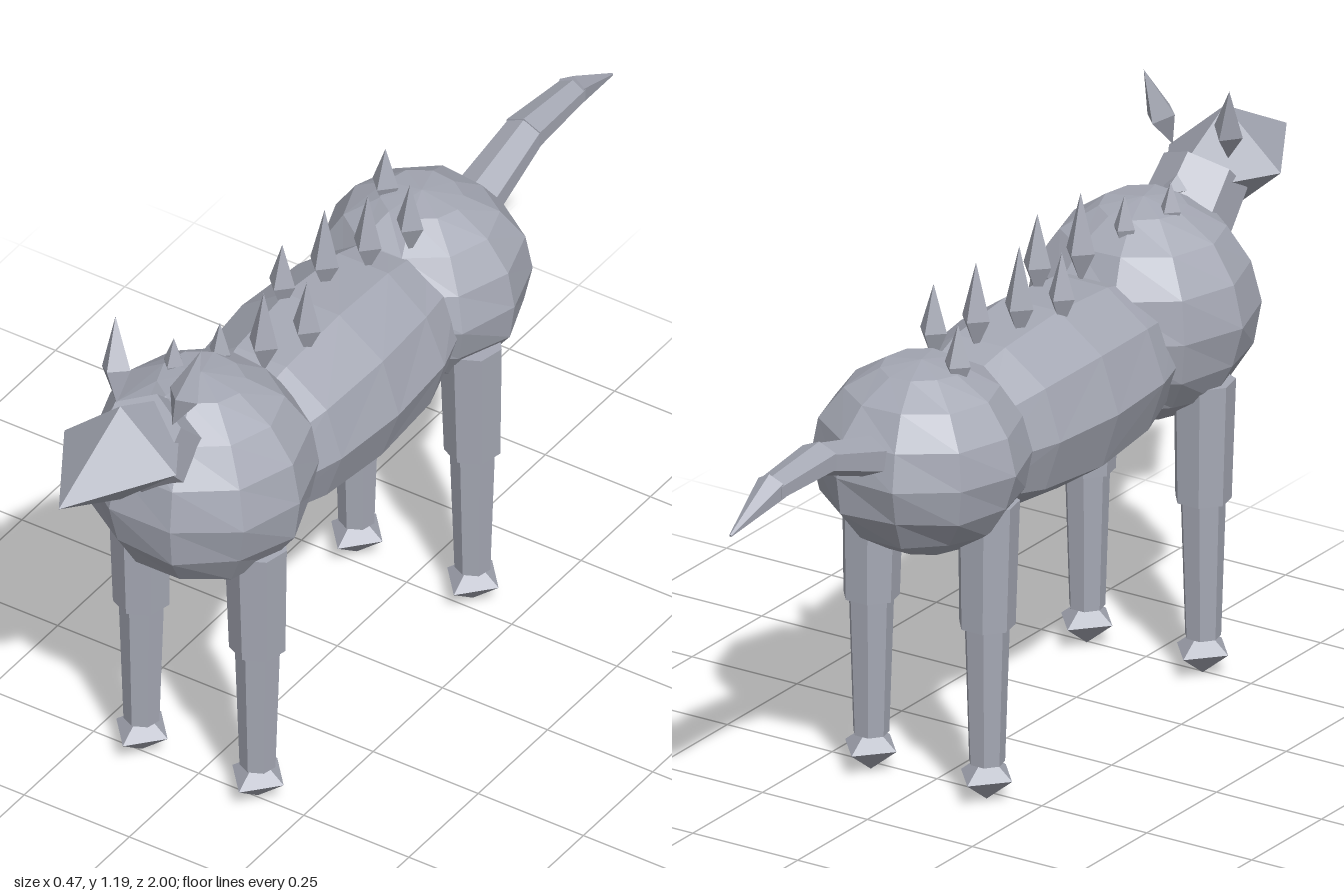
import * as THREE from 'three';

const V = (x, y, z) => new THREE.Vector3(x, y, z);

export function createModel() {
  const group = new THREE.Group();
  const grey = new THREE.MeshStandardMaterial({ color: 0xa6a9b5 });
  grey.name = 'stone grey';

  // Adds a faceted mesh
  function add(name, geometry) {
    const flat = geometry.index ? geometry.toNonIndexed() : geometry;
    flat.computeVertexNormals();
    const mesh = new THREE.Mesh(flat, grey);
    mesh.name = name;
    group.add(mesh);
    return mesh;
  }

  // Points a mesh built along +y from a to b
  function aim(mesh, a, b) {
    mesh.position.copy(a);
    mesh.quaternion.setFromUnitVectors(V(0, 1, 0), b.clone().sub(a).normalize());
    return mesh;
  }

  // Tapered limb segment from a to b
  function limb(name, a, b, ra, rb, sides = 7) {
    const length = a.distanceTo(b);
    const g = new THREE.CylinderGeometry(rb, ra, length, sides).translate(0, length / 2, 0);
    return aim(add(name, g), a, b);
  }

  // Four-sided double pyramid from a to b, widest at a fraction of its length
  function spike(name, a, b, r, waist) {
    const length = a.distanceTo(b);
    const profile = [[0, 0], [r, length * waist], [0, length]].map(p => new THREE.Vector2(...p));
    return aim(add(name, new THREE.LatheGeometry(profile, 4)), a, b);
  }

  // Slightly uneven low-poly ball; alongZ lays its poles front to back
  function lump(name, centre, radii, alongZ, seed) {
    const g = new THREE.SphereGeometry(1, 10, 8);
    if (alongZ) g.rotateX(Math.PI / 2);
    const p = g.attributes.position;
    for (let i = 0; i < p.count; i++) {
      const x = p.getX(i), y = p.getY(i), z = p.getZ(i);
      const k = 1 + 0.022 * Math.sin(5 * x + 3 * y + seed) * Math.cos(4 * z - 6 * y + seed);
      p.setXYZ(i, x * k, y * k, z * k);
    }
    g.scale(radii.x, radii.y, radii.z);
    add(name, g).position.copy(centre);
  }

  // Body
  lump('chest', V(0, 0.765, 0.49), V(0.235, 0.232, 0.235), false, 1);
  lump('belly', V(-0.003, 0.715, 0.085), V(0.207, 0.2, 0.48), true, 2);
  lump('hips', V(-0.01, 0.73, -0.32), V(0.222, 0.202, 0.218), false, 4);

  // Neck and head
  limb('neck', V(-0.003, 0.83, 0.57), V(-0.003, 0.975, 0.71), 0.1, 0.09, 6);
  const head = add('head', new THREE.OctahedronGeometry(1));
  head.scale.set(0.133, 0.116, 0.222);
  head.position.set(-0.003, 0.975, 0.778);

  // Legs and hooves
  for (const side of [-1, 1]) {
    const name = side > 0 ? 'left' : 'right';
    spike(name + 'Ear', V(side * 0.066, 1.02, 0.695), V(side * 0.102, 1.19, 0.645), 0.034, 0.4);
    for (const [end, z, top] of [['Front', 0.495, 0.63], ['Hind', -0.28, 0.64]]) {
      const x = side * 0.138;
      limb(name + end + 'UpperLeg', V(x, 0.375, z), V(x, top, z + 0.005), 0.058, 0.064);
      limb(name + end + 'LowerLeg', V(x, 0.08, z), V(x, 0.39, z), 0.037, 0.047);
      const hoof = add(name + end + 'Hoof', new THREE.OctahedronGeometry(1));
      hoof.scale.set(0.061, 0.05, 0.069);
      hoof.position.set(x, 0.05, z);
    }
  }

  // Back spikes: x, z, tip height, waist height, radius
  const spikes = [
    [-0.07, 0.483, 1.045, 0.985, 0.024], [-0.025, 0.385, 1.04, 0.97, 0.025],
    [0.015, 0.288, 1.07, 0.945, 0.034], [0.053, 0.19, 1.05, 0.94, 0.033],
    [-0.07, 0.092, 1.03, 0.935, 0.031], [-0.034, -0.006, 1.07, 0.94, 0.034],
    [0.004, -0.104, 1.06, 0.94, 0.033], [0.04, -0.202, 1.04, 0.94, 0.032],
    [-0.083, -0.3, 1.015, 0.93, 0.031],
  ];
  for (const [x, z, tip, waist, r] of spikes) {
    const base = waist - 0.07;
    spike('backSpike', V(x, base, z), V(x, tip, z), r, 0.07 / (tip - base));
  }

  // Tail
  const x = -0.006;
  limb('tailBase', V(x, 0.785, -0.5), V(x, 0.845, -0.69), 0.056, 0.044, 6).scale.z = 0.75;
  limb('tailMiddle', V(x, 0.845, -0.68), V(x, 0.838, -0.86), 0.046, 0.034, 6).scale.z = 0.75;
  limb('tailTip', V(x, 0.84, -0.85), V(x, 0.788, -1), 0.034, 0.003, 6);

  return group;
}
